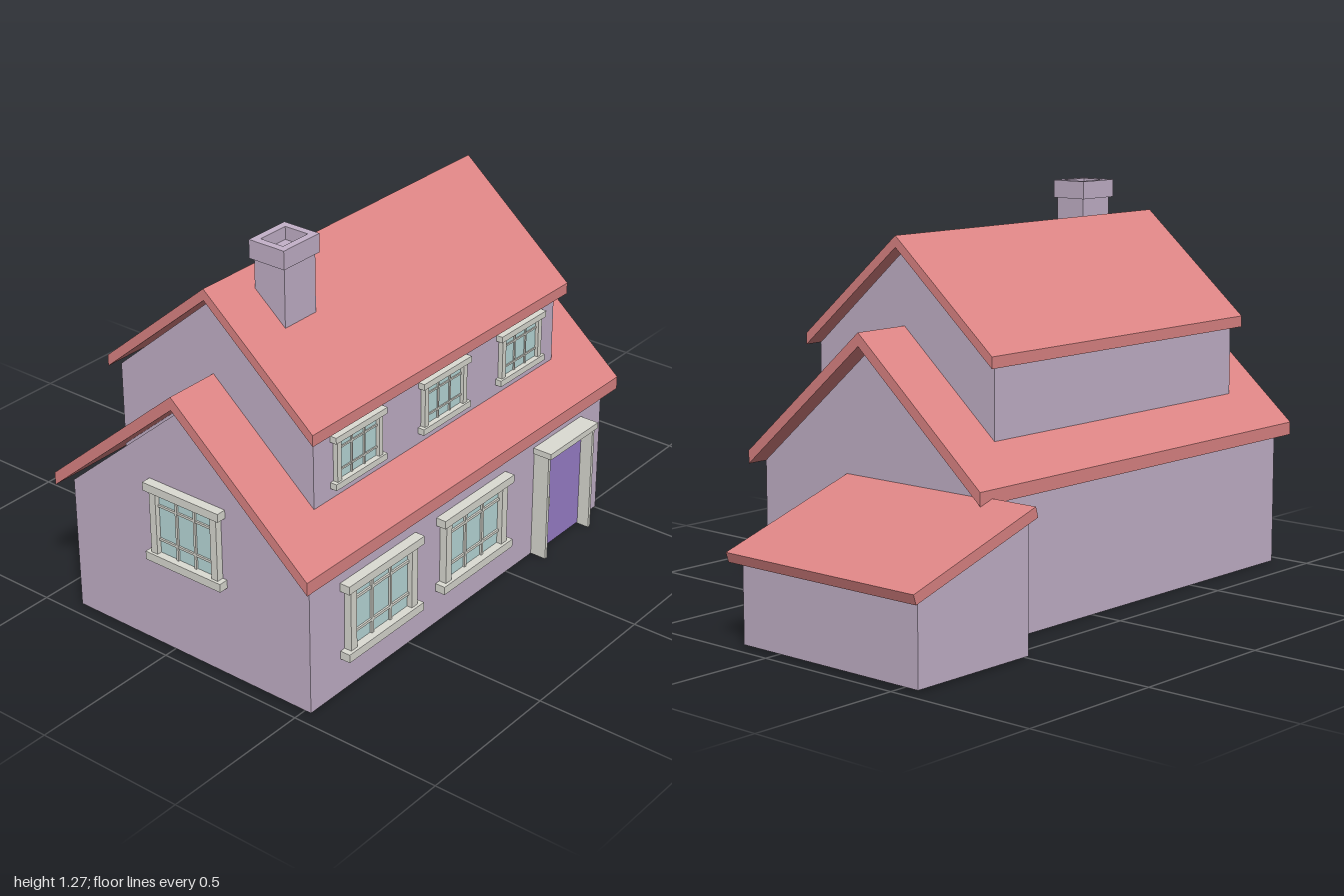
import * as THREE from 'three';

const mat = (color, extra = {}) => new THREE.MeshStandardMaterial({ color, ...extra });

export function createModel() {
  const house = new THREE.Group();
  house.name = 'house';
  const wall = mat(0xc4b2ca), roof = mat(0xde8585), trim = mat(0xdcdcd4);
  const glass = mat(0xbbdcdc), purple = mat(0x9b80cc);

  const add = (parent, name, geometry, material) => {
    const mesh = new THREE.Mesh(geometry, material);
    mesh.name = name;
    parent.add(mesh);
    return mesh;
  };
  // Box given by its limits on each axis
  const box = (parent, name, material, x0, x1, y0, y1, z0, z1) => {
    const mesh = add(parent, name, new THREE.BoxGeometry(x1 - x0, y1 - y0, z1 - z0), material);
    mesh.position.set((x0 + x1) / 2, (y0 + y1) / 2, (z0 + z1) / 2);
    return mesh;
  };
  const shapeOf = (pts) => new THREE.Shape(pts.map(([u, v]) => new THREE.Vector2(u, v)));
  // (x, y) profile extruded along z
  const alongZ = (pts, z0, z1) =>
    new THREE.ExtrudeGeometry(shapeOf(pts), { depth: z1 - z0, bevelEnabled: false }).translate(0, 0, z0);
  // (z, y) profile extruded along x
  const alongX = (pts, x0, x1) =>
    new THREE.ExtrudeGeometry(shapeOf(pts), { depth: x1 - x0, bevelEnabled: false })
      .rotateY(-Math.PI / 2).translate(x1, 0, 0);

  // Gabled storeys and their chevron roofs share one ridge line
  const ridge = 0.065;
  const storey = (name, x0, x1, zBack, zFront, base, eave, peak) =>
    add(house, name, alongX([[zBack, base], [zFront, base], [zFront, eave], [ridge, peak], [zBack, eave]], x0, x1), wall);
  const gableRoof = (name, x0, x1, half, eave, peak, thick) =>
    add(house, name, alongX([
      [ridge - half, eave], [ridge - half, eave - thick], [ridge, peak - thick],
      [ridge + half, eave - thick], [ridge + half, eave], [ridge, peak],
    ], x0, x1), roof);

  storey('groundFloorWalls', -0.955, 0.505, -0.39, 0.522, 0, 0.44, 0.83);
  gableRoof('lowerRoof', -1, 0.55, 0.488, 0.473, 0.89, 0.042);
  storey('upperFloorWalls', -0.82, 0.35, -0.3, 0.43, 0.5, 0.805, 1.12);
  gableRoof('upperRoof', -0.85, 0.388, 0.389, 0.837, 1.167, 0.036);

  // Side annex with a lean-to roof
  add(house, 'annexWalls', alongZ([[0.495, 0.005], [0.955, 0.005], [0.955, 0.262], [0.495, 0.402]], -0.56, 0.14), wall);
  add(house, 'annexRoof', alongZ([[0.487, 0.414], [0.99, 0.255], [1, 0.286], [0.497, 0.447]], -0.588, 0.162), roof);

  // Chimney with a hollow cap
  box(house, 'chimneyStack', wall, -0.69, -0.556, 0.98, 1.235, 0.115, 0.225);
  const rect = (Type, w, d) => {
    const p = new Type();
    p.moveTo(-w / 2, -d / 2);
    p.lineTo(w / 2, -d / 2);
    p.lineTo(w / 2, d / 2);
    p.lineTo(-w / 2, d / 2);
    p.closePath();
    return p;
  };
  const capShape = rect(THREE.Shape, 0.154, 0.128);
  capShape.holes.push(rect(THREE.Path, 0.106, 0.082));
  add(house, 'chimneyCap', new THREE.ExtrudeGeometry(capShape, { depth: 0.058, bevelEnabled: false })
    .rotateX(-Math.PI / 2), wall).position.set(-0.623, 1.217, 0.169);

  // Window facing +z with its back on z = 0: frame, lintel, sill, pane and bars
  const makeWindow = (name, w, h, d, side, edge) => {
    const g = new THREE.Group();
    g.name = name;
    const hw = w / 2, hh = h / 2, ear = w * 0.055, fw = hw - ear;
    const gw = fw - side, gh = hh - edge, bar = side * 0.16;
    box(g, 'pane', glass, -fw + 0.005, fw - 0.005, -hh + 0.005, hh - 0.005, -0.005, d * 0.2);
    for (const s of [-1, 1]) {
      const mid = s * (fw - side / 2);
      box(g, 'frameSide', trim, mid - side / 2, mid + side / 2, -hh + edge, hh - edge, -0.005, d * 0.72);
      const rail = s * (hh - edge / 2);
      box(g, s > 0 ? 'lintel' : 'sill', trim, -hw, hw, rail - edge / 2, rail + edge / 2, -0.005, d);
      const bx = s * gw / 3, by = s * gh * 0.55;
      box(g, 'uprightBar', trim, bx - bar, bx + bar, -gh, gh, 0, d * 0.4);
      box(g, 'crossBar', trim, -gw, gw, by - bar, by + bar, 0, d * 0.38);
    }
    house.add(g);
    return g;
  };
  for (const x of [-0.645, -0.193])
    makeWindow('groundFloorWindow', 0.35, 0.257, 0.034, 0.027, 0.027).position.set(x, 0.242, 0.522);
  for (const x of [-0.63, -0.225, 0.163])
    makeWindow('upperFloorWindow', 0.232, 0.17, 0.022, 0.018, 0.02).position.set(x, 0.697, 0.43);
  makeWindow('annexWindow', 0.232, 0.17, 0.022, 0.018, 0.02).position.set(0.715, 0.197, 0.14);
  const gableWindow = makeWindow('gableWindow', 0.29, 0.26, 0.031, 0.024, 0.027);
  gableWindow.position.set(-0.955, 0.43, 0.07);
  gableWindow.rotation.y = -Math.PI / 2;

  // Front door set between projecting jambs
  const door = new THREE.Group();
  door.name = 'frontDoor';
  box(door, 'doorLeaf', purple, 0.145, 0.382, 0.004, 0.365, 0.515, 0.535);
  box(door, 'doorHandle', trim, 0.176, 0.2, 0.152, 0.186, 0.535, 0.545);
  box(door, 'doorJamb', trim, 0.136, 0.147, 0, 0.365, 0.515, 0.577);
  box(door, 'doorJamb', trim, 0.38, 0.391, 0, 0.365, 0.515, 0.577);
  box(door, 'doorLintel', trim, 0.132, 0.393, 0.365, 0.385, 0.515, 0.588);
  house.add(door);

  return house;
}
